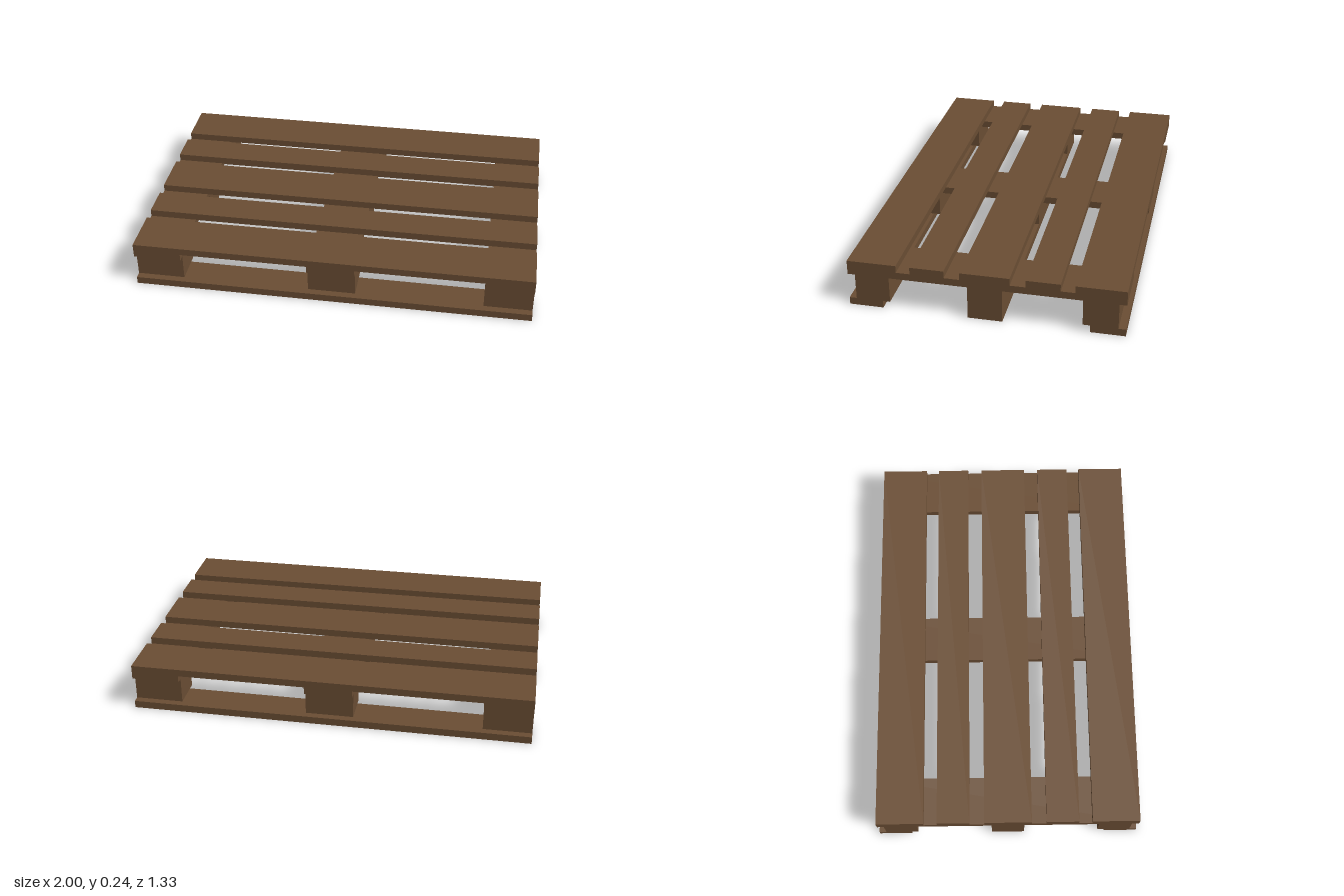
import * as THREE from 'three';

export function createModel() {
  const group = new THREE.Group();
  const wood = new THREE.MeshStandardMaterial({ color: 0x6b4e34 });
  wood.name = 'brownWood';

  // Box given by its centre in plan, its plan size and its lower and upper heights
  function plank(name, x, z, width, depth, y0, y1) {
    const mesh = new THREE.Mesh(new THREE.BoxGeometry(width, y1 - y0, depth), wood);
    mesh.name = name;
    mesh.position.set(x, (y0 + y1) / 2, z);
    group.add(mesh);
  }

  const halfDepth = 0.667;
  const blockWidth = 0.24;
  const boardDepth = 0.167;
  const columns = [-0.88, 0, 0.88];
  const [bottomTop, blockTop, stringerTop, deckTop] = [0.037, 0.169, 0.205, 0.241];

  // Top deck: wide boards at the edges and centre, narrow ones between
  for (const [z, depth] of [[-0.547, 0.24], [-0.277, 0.165], [0, 0.24], [0.277, 0.165], [0.547, 0.24]]) {
    plank('deckBoard', 0, z, 2, depth, stringerTop, deckTop);
  }

  // Cross boards under the deck
  for (const x of columns) {
    plank('crossBoard', x, 0, blockWidth, halfDepth * 2, blockTop, stringerTop);
  }

  // Bottom boards, with a row of three blocks on each; outer blocks sit slightly inward
  for (const side of [-1, 0, 1]) {
    plank('bottomBoard', 0, side * (halfDepth - boardDepth / 2), 2, boardDepth, 0, bottomTop);
    for (const x of columns) {
      plank('spacerBlock', x, side * 0.548, blockWidth, boardDepth, bottomTop, blockTop);
    }
  }

  return group;
}
